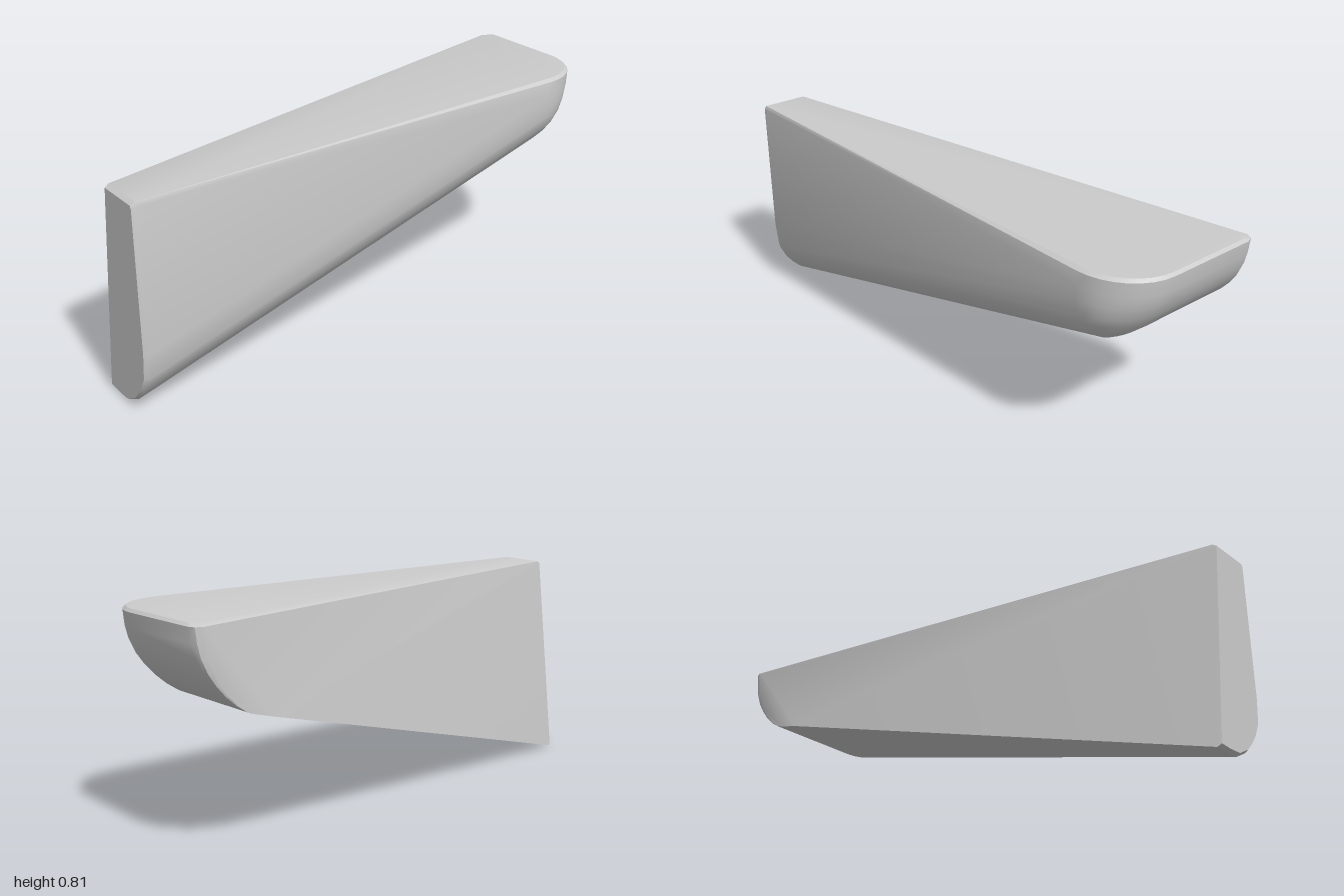
import * as THREE from 'three';
import { ConvexGeometry } from 'three/addons/geometries/ConvexGeometry.js';
import { toCreasedNormals } from 'three/addons/utils/BufferGeometryUtils.js';

export function createModel() {
  const group = new THREE.Group();
  const points = [];
  const add = (x, y, z) => points.push(new THREE.Vector3(x, y, z));

  // Tall narrow end: [z, y] outline with a rounded lower front, slightly chamfered
  const narrowEnd = [
    [0.12, 0.8], [0.295, 0.803], [0.3, 0.79], [0.3, 0.26], [0.29, 0.16],
    [0.262, 0.105], [0.232, 0.068], [0.2, 0.036], [0.14, 0.004], [0.08, 0], [0.025, 0.002],
  ];
  for (const [z, y] of narrowEnd) {
    add(-0.985, y, z);
    add(-1, 0.4 + (y - 0.4) * 0.975, 0.16 + (z - 0.16) * 0.96);
  }

  // Rounded far end: rows of [height, reach in x, reach in z] swept round the corner
  const rows = [
    [0.808, 0.99, 0.27], [0.798, 1, 0.285], [0.745, 0.994, 0.286], [0.7, 0.982, 0.285],
    [0.65, 0.958, 0.278], [0.61, 0.93, 0.262], [0.57, 0.895, 0.234], [0.535, 0.855, 0.2],
    [0.512, 0.82, 0.165], [0.5, 0.79, 0.13],
  ];
  const steps = 8, cx = 0.78, cz = 0.08;
  for (const [y, ex, ez] of rows) {
    for (let i = 0; i <= steps; i++) {
      const a = (i / steps) * Math.PI / 2;
      add(cx + (ex - cx) * Math.cos(a), y, cz + (ez - cz) * Math.sin(a));
    }
    // small rounded corner at the back
    if (y > 0.8) {
      add(ex, y, -0.25);
      add(0.95, y, -0.275);
    } else {
      const r = THREE.MathUtils.clamp((y - 0.5) * 0.15, 0, 0.035);
      add(ex, y, -0.3 + r);
      add(ex - r * 0.3, y, -0.3 + r * 0.3);
      add(ex - r, y, -0.3);
    }
  }
  // Back corner where the sloping underside meets the flat rear facet
  add(0.71, 0.478, -0.3);

  const wedge = new THREE.Mesh(
    toCreasedNormals(new ConvexGeometry(points), 0.5),
    new THREE.MeshStandardMaterial({ color: 0xcccccc }),
  );
  wedge.name = 'roundedWedge';
  group.add(wedge);
  return group;
}
